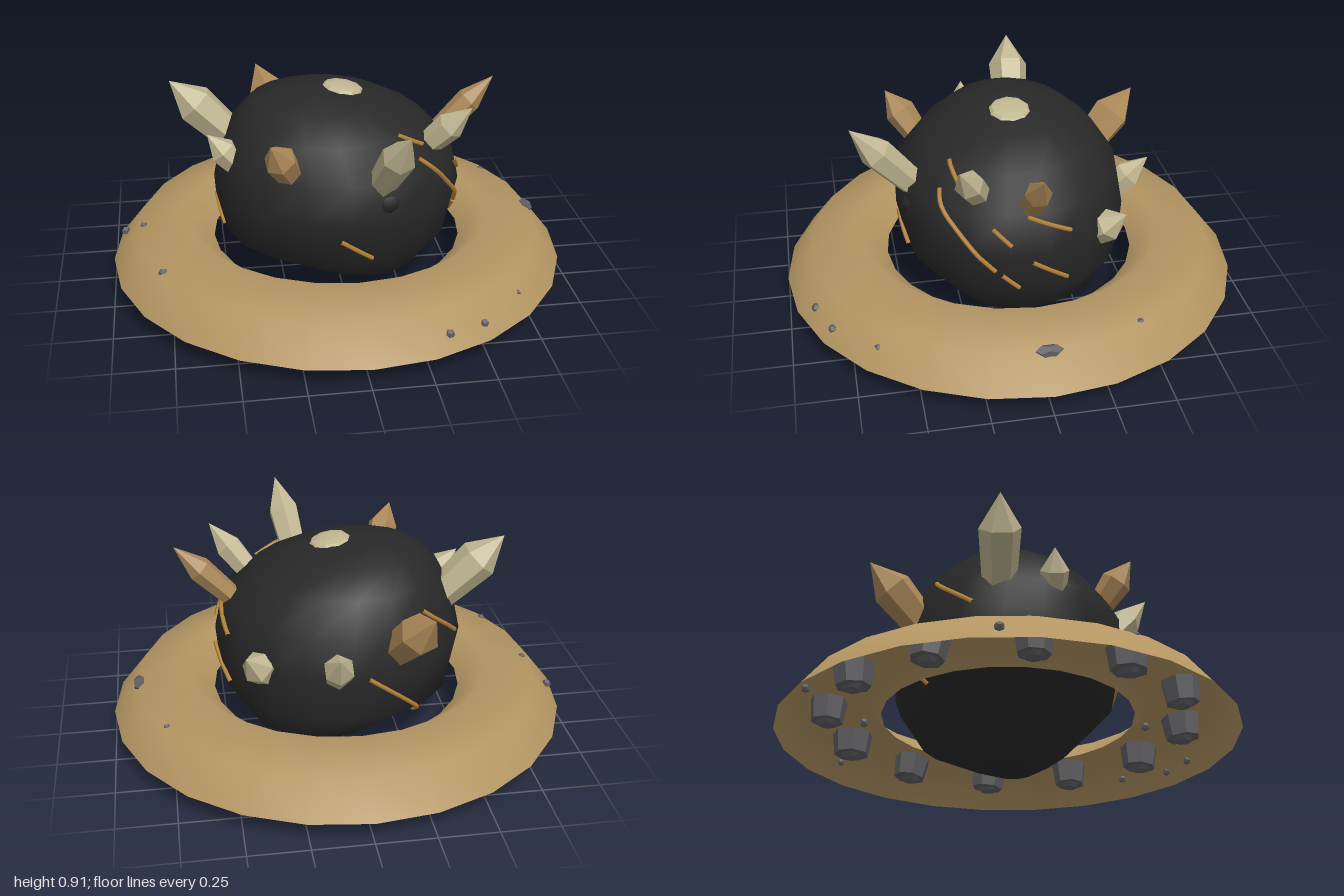
import * as THREE from 'three';

const mat = (name, color, extra = {}) => new THREE.MeshStandardMaterial({ name, color, ...extra });

export function createModel() {
  const model = new THREE.Group();
  const sand = mat('sand', 0xb39562, { side: THREE.DoubleSide });
  const black = mat('black', 0x282828);
  const cream = mat('cream crystal', 0xc0b691, { flatShading: true });
  const brown = mat('brown crystal', 0xab8858, { flatShading: true });
  const gold = mat('gold crack', 0xb8853a);
  const grey = mat('grey stone', 0x606064, { flatShading: true });

  let seed = 7;
  const rand = () => (seed = (seed * 16807) % 2147483647) / 2147483647;

  const add = (name, geometry, material, x = 0, y = 0, z = 0) => {
    const mesh = new THREE.Mesh(geometry, material);
    mesh.name = name;
    mesh.position.set(x, y, z);
    model.add(mesh);
    return mesh;
  };

  // Hollow ring: an arched profile that leans inwards
  const profile = [[1, 0.1], [0.888, 0.242], [0.662, 0.286], [0.55, 0.19]];
  add('ring', new THREE.LatheGeometry(profile.map(p => new THREE.Vector2(...p)), 24), sand);

  // Body cross-sections: y, x min, x max, z min, z max
  const levels = [
    [0.005, 0.2, 0.2, 0.04, 0.04],
    [0.02, 0.06, 0.29, -0.06, 0.15],
    [0.05, -0.07, 0.34, -0.2, 0.22],
    [0.1, -0.21, 0.4, -0.37, 0.3],
    [0.25, -0.5, 0.5, -0.49, 0.46],
    [0.45, -0.545, 0.54, -0.5, 0.5],
    [0.62, -0.51, 0.5, -0.47, 0.5],
    [0.75, -0.45, 0.37, -0.38, 0.38],
    [0.83, -0.37, 0.21, -0.27, 0.25],
    [0.87, -0.27, 0.06, -0.14, 0.13],
    [0.887, -0.12, -0.12, 0, 0],
  ];
  const pointOn = ([y, x0, x1, z0, z1], a, grow = 0) => new THREE.Vector3(
    (x0 + x1) / 2 + ((x1 - x0) / 2 + grow) * Math.sin(a), y,
    (z0 + z1) / 2 + ((z1 - z0) / 2 + grow) * Math.cos(a));
  const bodySurface = (a, y, grow) => {
    const i = Math.max(1, levels.findIndex(l => l[0] >= y));
    const low = levels[i - 1], high = levels[i];
    const t = (y - low[0]) / (high[0] - low[0]);
    return pointOn(low.map((v, k) => v + (high[k] - v) * t), a, grow);
  };

  const sides = 18, positions = [], index = [];
  levels.forEach((level, i) => {
    for (let j = 0; j < sides; j++) {
      positions.push(...pointOn(level, j / sides * Math.PI * 2).toArray());
      if (i === levels.length - 1) continue;
      const a = i * sides + j, b = i * sides + (j + 1) % sides;
      index.push(a, b, b + sides, a, b + sides, a + sides);
    }
  });
  const bodyGeometry = new THREE.BufferGeometry();
  bodyGeometry.setAttribute('position', new THREE.Float32BufferAttribute(positions, 3));
  bodyGeometry.setIndex(index);
  bodyGeometry.computeVertexNormals();
  add('body', bodyGeometry, black);
  add('bodyBump', new THREE.SphereGeometry(0.055, 10, 8), black, 0.15, 0.53, 0.435);
  add('mouth', new THREE.TorusGeometry(0.06, 0.012, 6, 14), black, 0.17, 0.025, 0.04).rotation.x = Math.PI / 2;

  // Flattened cap on top of the body
  const cap = add('topCap', new THREE.SphereGeometry(0.09, 10, 6), cream, 0.03, 0.866, 0);
  cap.scale.y = 0.26;
  cap.rotation.z = -0.18;

  // Crystals: material, base, tip, shoulder radius
  const up = new THREE.Vector3(0, 1, 0);
  const crystals = [
    [cream, [-0.43, 0.61, -0.09], [-0.71, 0.89, -0.12], 0.09],
    [cream, [-0.44, 0.59, 0.14], [-0.565, 0.735, 0.125], 0.062],
    [brown, [-0.24, 0.64, 0.37], [-0.33, 0.83, 0.5], 0.068],
    [cream, [0.12, 0.57, 0.4], [0.19, 0.915, 0.69], 0.072],
    [cream, [0.33, 0.62, 0.17], [0.53, 0.86, 0.29], 0.062],
    [brown, [0.42, 0.6, -0.01], [0.695, 0.88, -0.01], 0.056],
    [cream, [0.33, 0.4, -0.3], [0.435, 0.54, -0.42], 0.072],
    [cream, [0.06, 0.42, -0.42], [0.075, 0.6, -0.61], 0.066],
    [brown, [-0.19, 0.5, -0.37], [-0.3, 0.76, -0.63], 0.09],
  ];
  for (const [material, base, tip, r] of crystals) {
    const from = new THREE.Vector3(...base), axis = new THREE.Vector3(...tip).sub(from);
    const length = axis.length(), shoulder = length * 0.75 - 0.05;
    const outline = [[0, 0], [r * 0.8, 0], [r, shoulder], [0, length]].map(p => new THREE.Vector2(...p));
    const crystal = add('crystal', new THREE.LatheGeometry(outline, 6), material, ...base);
    crystal.quaternion.setFromUnitVectors(up, axis.normalize());
  }

  // Cracks running down the body: start angle, start height, end angle, end height
  const cracks = [
    [42, 0.67, 72, 0.37], [40, 0.755, 52, 0.7], [73, 0.57, 81, 0.5], [90, 0.62, 111, 0.53],
    [90, 0.42, 108, 0.3], [75, 0.35, 83, 0.28], [-5, 0.38, 10, 0.28], [186, 0.45, 219, 0.22],
    [218, 0.67, 245, 0.5], [265, 0.38, 280, 0.28],
  ];
  for (const [a0, y0, a1, y1] of cracks) {
    const points = [];
    for (let i = 0; i <= 8; i++) {
      const a = THREE.MathUtils.degToRad(a0 + (a1 - a0) * i / 8);
      points.push(bodySurface(a, y0 + (y1 - y0) * i / 8, 0.003));
    }
    add('crack', new THREE.TubeGeometry(new THREE.CatmullRomCurve3(points), 16, 0.01, 5), gold);
  }

  // Stones set in the hollow underside, each with a small inner knob
  for (let k = 0; k < 12; k++) {
    const a = THREE.MathUtils.degToRad(k * 30), x = 0.775 * Math.sin(a), z = 0.775 * Math.cos(a);
    const stone = add('underStone', new THREE.CylinderGeometry(0.085, 0.072, 0.1, 7), grey, x, 0.19, z);
    stone.rotation.set((rand() - 0.5) * 0.2, rand() * 6, (rand() - 0.5) * 0.2);
    stone.scale.set(0.9 + rand() * 0.2, 1, 0.9 + rand() * 0.2);
    add('underKnob', new THREE.CylinderGeometry(0.05, 0.035, 0.02, 8), grey, x, 0.133, z);
  }

  // Pebbles poking through the ring: x, y, z, radius
  const pebbles = [
    [-0.947, 0.16, -0.15, 0.02], [-0.86, 0.243, -0.03, 0.017], [-0.78, 0.238, 0.39, 0.02],
    [0.77, 0.24, -0.4, 0.015], [0.66, 0.175, 0.65, 0.018], [0.48, 0.157, 0.825, 0.018],
    [0.325, 0.16, 0.885, 0.02], [0.55, 0.16, -0.72, 0.016], [-0.3, 0.16, -0.86, 0.018],
    [0.19, 0.22, -0.62, 0.02], [0.08, 0.22, 0.63, 0.02],
  ];
  for (const [x, y, z, r] of pebbles) add('pebble', new THREE.DodecahedronGeometry(r), grey, x, y, z);
  const slab = add('largePebble', new THREE.DodecahedronGeometry(0.055), grey, 0.882, 0.234, 0);
  slab.scale.set(0.5, 0.5, 1.1);
  slab.rotation.z = -0.6;

  return model;
}
